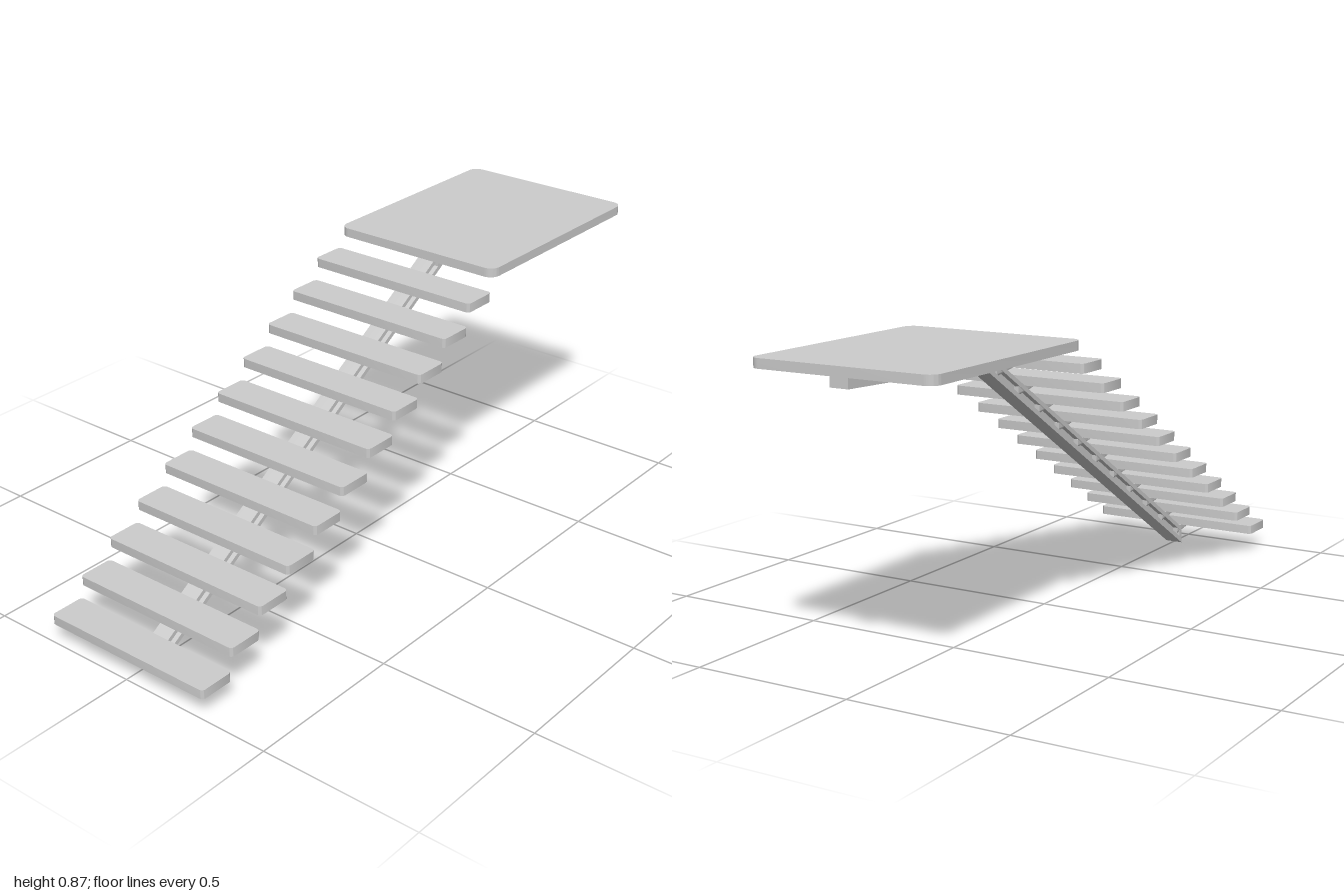
import * as THREE from 'three';
import { toCreasedNormals } from 'three/addons/utils/BufferGeometryUtils.js';

const material = new THREE.MeshStandardMaterial({ color: 0xcccccc });

function add(parent, name, geometry) {
  const mesh = new THREE.Mesh(toCreasedNormals(geometry, 0.6), material);
  mesh.name = name;
  parent.add(mesh);
  return mesh;
}

// Flat slab with rounded corners in plan, its underside at y = 0
function slab(width, depth, thickness, r) {
  const x = width / 2, z = depth / 2, s = new THREE.Shape();
  s.absarc(x - r, z - r, r, 0, Math.PI / 2);
  s.absarc(-x + r, z - r, r, Math.PI / 2, Math.PI);
  s.absarc(-x + r, -z + r, r, Math.PI, Math.PI * 1.5);
  s.absarc(x - r, -z + r, r, Math.PI * 1.5, Math.PI * 2);
  s.closePath();
  const g = new THREE.ExtrudeGeometry(s, { depth: thickness, bevelEnabled: false, curveSegments: 8 });
  return g.rotateX(-Math.PI / 2);
}

// Side profile in (z, y), extruded across x and centred
function sideExtrude(shape, width) {
  const g = new THREE.ExtrudeGeometry(shape, { depth: width, bevelEnabled: false });
  return g.translate(0, 0, -width / 2).rotateY(-Math.PI / 2);
}

const points = (list) => list.map(([z, y]) => new THREE.Vector2(z, y));

// Bracket with rounded lower edges, shallower towards its front end
function bracketGeometry() {
  const w = 0.027, h = 0.027, r = 0.01, length = 0.085;
  const s = new THREE.Shape();
  s.moveTo(-w, 0);
  s.lineTo(-w, -h + r);
  s.quadraticCurveTo(-w, -h, -w + r, -h);
  s.lineTo(w - r, -h);
  s.quadraticCurveTo(w, -h, w, -h + r);
  s.lineTo(w, 0);
  s.closePath();
  const g = new THREE.ExtrudeGeometry(s, { depth: length, bevelEnabled: false, curveSegments: 6 });
  const p = g.attributes.position;
  for (let i = 0; i < p.count; i++) {
    if (p.getZ(i) > length / 2) p.setY(i, p.getY(i) * 0.45);
  }
  g.computeVertexNormals();
  return g;
}

export function createModel() {
  const model = new THREE.Group();
  model.name = 'staircase';

  // Central beam: sloping run plus tapered arm below the landing
  const outline = new THREE.Shape(points([
    [0.885, 0], [0.885, 0.055], [-0.385, 0.845], [-0.998, 0.845], [-0.998, 0.815], [-0.385, 0.79],
  ]));
  const recesses = [
    [[0.868, 0.027], [0.868, 0.05], [-0.362, 0.815], [-0.362, 0.792]],
    [[-0.48, 0.805], [-0.48, 0.836], [-0.76, 0.836], [-0.76, 0.818]],
  ];
  for (const r of recesses) outline.holes.push(new THREE.Path(points(r)));
  const beam = new THREE.Group();
  beam.name = 'centralBeam';
  model.add(beam);
  add(beam, 'beamFrame', sideExtrude(outline, 0.058));
  recesses.forEach((r, i) => {
    add(beam, i ? 'landingArmWeb' : 'slopeWeb', sideExtrude(new THREE.Shape(points(r)), 0.022));
  });

  // Treads, each on a small bracket
  const treadGeometry = slab(0.578, 0.114, 0.028, 0.013);
  const bracket = bracketGeometry();
  for (let i = 0; i < 11; i++) {
    const step = new THREE.Group();
    step.name = `step${i + 1}`;
    step.position.set(0, 0.063 + i * 0.0712, 0.943 - i * 0.116);
    add(step, 'tread', treadGeometry);
    add(step, 'treadBracket', bracket).position.z = -0.088;
    model.add(step);
  }

  // Upper landing
  add(model, 'landing', slab(0.578, 0.722, 0.028, 0.032)).position.set(0, 0.844, -0.639);
  return model;
}
